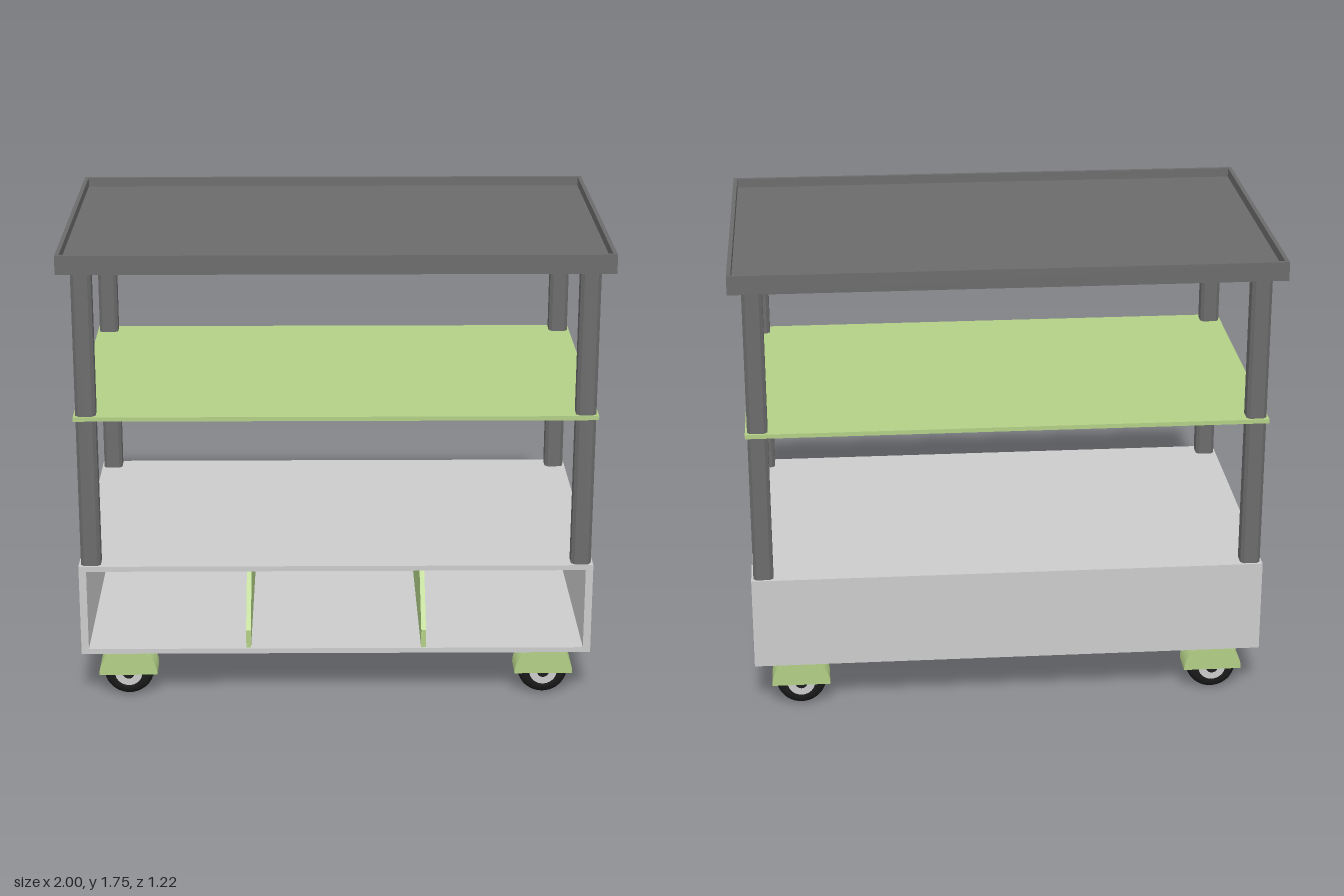
import * as THREE from 'three';

const grey = new THREE.MeshStandardMaterial({ color: 0xcccccc });
const dark = new THREE.MeshStandardMaterial({ color: 0x6b6b6b });
const green = new THREE.MeshStandardMaterial({ color: 0xb2cf86 });
const black = new THREE.MeshStandardMaterial({ color: 0x1c1c1c });

function add(parent, name, geometry, material, x = 0, y = 0, z = 0) {
  const mesh = new THREE.Mesh(geometry, material);
  mesh.name = name;
  mesh.position.set(x, y, z);
  parent.add(mesh);
  return mesh;
}

// Box given by its minimum and maximum corners
function block(parent, name, material, [x0, y0, z0], [x1, y1, z1]) {
  return add(parent, name, new THREE.BoxGeometry(x1 - x0, y1 - y0, z1 - z0), material,
    (x0 + x1) / 2, (y0 + y1) / 2, (z0 + z1) / 2);
}

function extrude(points, depth) {
  const shape = new THREE.Shape(points.map(([x, y]) => new THREE.Vector2(x, y)));
  return new THREE.ExtrudeGeometry(shape, { depth, bevelEnabled: false });
}

// Top tray: a floor with a thin raised rim
function makeTray() {
  const g = new THREE.Group();
  g.name = 'topTray';
  const X = 1, Z = 0.612, t = 0.015, y0 = 1.68, y1 = 1.75;
  block(g, 'trayFloor', dark, [-X + t, y0, -Z + t], [X - t, 1.715, Z - t]);
  for (const s of [-1, 1]) {
    add(g, 'trayLongRim', new THREE.BoxGeometry(2 * X, y1 - y0, t), dark, 0, (y0 + y1) / 2, s * (Z - t / 2));
    add(g, 'trayShortRim', new THREE.BoxGeometry(t, y1 - y0, 2 * Z - 2 * t), dark, s * (X - t / 2), (y0 + y1) / 2, 0);
  }
  return g;
}

// Lower cabinet, open at the front, with two sloped dividers
function makeCabinet() {
  const g = new THREE.Group();
  g.name = 'cabinet';
  const X = 0.96, Z = 0.577, t = 0.02, side = 0.028, y0 = 0.19, y1 = 0.545;
  block(g, 'cabinetFloor', grey, [-X, y0, -Z], [X, y0 + t, Z]);
  block(g, 'cabinetTop', grey, [-X, y1 - t, -Z], [X, y1, Z]);
  block(g, 'cabinetBack', grey, [-X + side, y0 + t, -Z], [X - side, y1 - t, -Z + t]);
  for (const s of [-1, 1]) {
    add(g, 'cabinetSide', new THREE.BoxGeometry(side, y1 - y0 - 2 * t, 2 * Z), grey,
      s * (X - side / 2), (y0 + y1) / 2, 0);
    // Side outline drawn in (-z, y), then turned to stand across x
    const outline = [[-0.57, 0.21], [0.557, 0.21], [0.557, 0.48], [-0.33, 0.48], [-0.57, 0.28]];
    const divider = add(g, 'divider', extrude(outline, 0.018), green, s * 0.33 - 0.009, 0, 0);
    divider.rotation.y = Math.PI / 2;
  }
  return g;
}

// Swept wheel with a grey hub under a half-round fender
function makeCaster() {
  const g = new THREE.Group();
  g.name = 'caster';
  const fender = add(g, 'fender',
    new THREE.ExtrudeGeometry(new THREE.Shape().absarc(0, 0, 0.11, 0, Math.PI, false),
      { depth: 0.11, bevelEnabled: false, curveSegments: 24 }), green, 0, 0.093, -0.055);
  fender.geometry.computeVertexNormals();

  const wheel = new THREE.Group();
  wheel.name = 'wheel';
  wheel.position.y = 0.095;
  wheel.rotation.x = Math.PI / 2;
  const profile = [new THREE.Vector2(0.052, -0.047)];
  for (let i = 0; i <= 12; i++) {
    const a = -Math.PI / 2 + (Math.PI * i) / 12;
    profile.push(new THREE.Vector2(0.052 + 0.043 * Math.cos(a), 0.047 * Math.sin(a)));
  }
  profile.push(new THREE.Vector2(0.052, -0.047));
  add(wheel, 'tyre', new THREE.LatheGeometry(profile.slice(1), 40), black);
  add(wheel, 'hub', new THREE.CylinderGeometry(0.053, 0.053, 0.08, 32), grey);
  add(wheel, 'axle', new THREE.CylinderGeometry(0.023, 0.023, 0.088, 20), black);
  g.add(wheel);
  return g;
}

export function createModel() {
  const model = new THREE.Group();
  model.name = 'servingCart';
  model.add(makeTray(), makeCabinet());

  // Middle shelf
  block(model, 'middleShelf', green, [-0.96, 1.117, -0.577], [0.96, 1.133, 0.577]);

  // Corner posts with chamfered edges, and casters
  const h = 0.037, c = 0.025;
  const section = [[-c, -h], [c, -h], [h, -c], [h, c], [c, h], [-c, h], [-h, c], [-h, -c]];
  const postGeometry = extrude(section, 1.135).rotateX(-Math.PI / 2);
  for (const sx of [-1, 1]) {
    for (const sz of [-1, 1]) {
      add(model, 'cornerPost', postGeometry, dark, sx * 0.915, 0.545, sz * 0.531);
      const caster = makeCaster();
      caster.position.set(sx * 0.788, 0, sz * 0.501);
      model.add(caster);
    }
  }
  return model;
}
